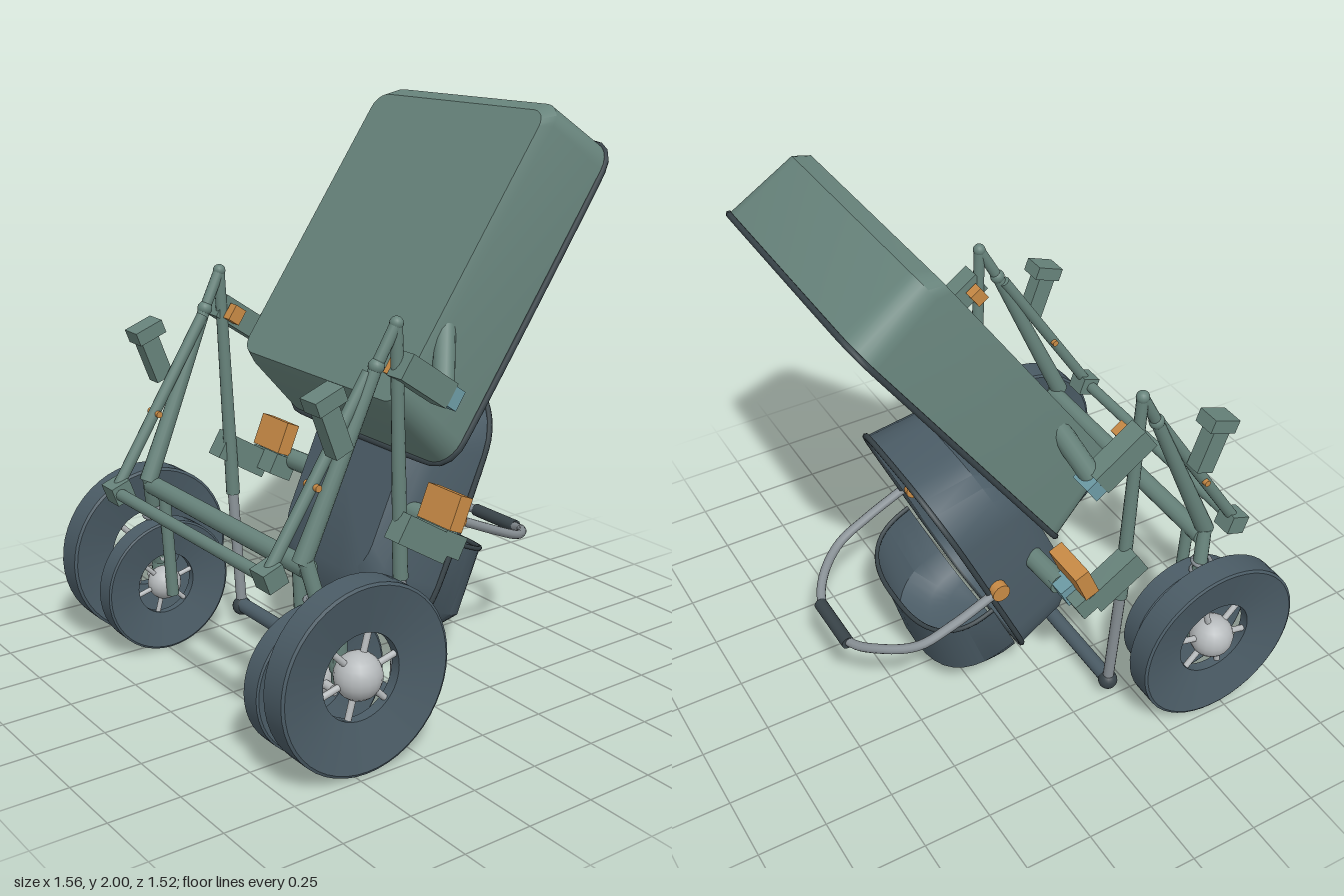
import * as THREE from 'three';
import { toCreasedNormals } from 'three/addons/utils/BufferGeometryUtils.js';

const V = (x, y, z) => new THREE.Vector3(x, y, z);
const mat = (name, color, side = THREE.FrontSide) => {
  const m = new THREE.MeshStandardMaterial({ color, side });
  m.name = name;
  return m;
};
const M = {
  green: mat('sage green', 0x67837b, THREE.DoubleSide),
  slate: mat('slate fabric', 0x4b5c66, THREE.DoubleSide),
  dark: mat('dark trim', 0x394449),
  beige: mat('beige liner', 0xb4ac9a, THREE.DoubleSide),
  orange: mat('orange', 0xc88a45),
  silver: mat('silver', 0xb6babc),
  grey: mat('grey metal', 0x899196),
  cyan: mat('dusty cyan', 0x6d9ba5),
};

export function createModel() {
  const root = new THREE.Group();
  root.name = 'stroller';
  const add = (name, geo, m, parent = root) => {
    const mesh = new THREE.Mesh(geo, m);
    mesh.name = name;
    parent.add(mesh);
    return mesh;
  };
  // straight round bar between two points
  const bar = (name, a, b, r, m, parent, r2 = r) => {
    const d = b.clone().sub(a);
    const mesh = add(name, new THREE.CylinderGeometry(r2, r, d.length(), 14), m, parent);
    mesh.position.copy(a).add(b).multiplyScalar(0.5);
    mesh.quaternion.setFromUnitVectors(V(0, 1, 0), d.normalize());
    return mesh;
  };
  const ball = (name, p, r, m, parent) =>
    add(name, new THREE.SphereGeometry(r, 18, 12), m, parent).position.copy(p);
  // box turned about z
  const box = (name, p, w, h, d, angle, m, parent) => {
    const mesh = add(name, new THREE.BoxGeometry(w, h, d), m, parent);
    mesh.position.copy(p);
    mesh.rotation.z = angle;
    return mesh;
  };
  // skin over rings of points, first ring closed by a fan around cap
  const loft = (rings, closed, cap) => {
    const n = rings[0].length, pos = [], idx = [];
    rings.flat().forEach(p => pos.push(p.x, p.y, p.z));
    const last = closed ? n : n - 1;
    for (let j = 0; j < rings.length - 1; j++)
      for (let i = 0; i < last; i++) {
        const a = j * n + i, b = j * n + (i + 1) % n;
        idx.push(a, b, b + n, a, b + n, a + n);
      }
    pos.push(cap.x, cap.y, cap.z);
    for (let i = 0; i < last; i++) idx.push(rings.length * n, (i + 1) % n, i);
    const g = new THREE.BufferGeometry();
    g.setAttribute('position', new THREE.Float32BufferAttribute(pos, 3));
    g.setIndex(idx);
    return toCreasedNormals(g, 0.55);
  };
  // sloped frame: u runs up the opening, n points out of it
  const slope = (x, y, ux, uy) => (u, n, z) => V(x + ux * u + uy * n, y + uy * u - ux * n, z);
  const roundRing = (at, n, u0, u1, w, r) => {
    const pts = [];
    [[u1 - r, w - r], [u0 + r, w - r], [u0 + r, r - w], [u1 - r, r - w]].forEach(([u, z], c) => {
      for (let i = 0; i <= 6; i++) {
        const t = (c - 0) * Math.PI / 2 + i / 6 * Math.PI / 2;
        pts.push(at(u + r * Math.sin(t), n, z + r * Math.cos(t)));
      }
    });
    return pts;
  };
  // corner order follows the sweep of sin/cos above
  const ringOf = (at, [n, u0, u1, w, r]) => {
    const corners = [[u1 - r, w - r], [u1 - r, r - w], [u0 + r, r - w], [u0 + r, w - r]];
    const pts = [];
    corners.forEach(([u, z], c) => {
      for (let i = 0; i <= 6; i++) {
        const t = (c + i / 6) * Math.PI / 2;
        pts.push(at(u + r * Math.sin(t), n, z + r * Math.cos(t)));
      }
    });
    return pts;
  };
  const tub = (name, at, specs, outer, inner) => {
    const g = new THREE.Group();
    g.name = name;
    root.add(g);
    const mid = s => at((s[1] + s[2]) / 2, s[0], 0);
    add(name + 'Shell', loft(specs.map(s => ringOf(at, s)), true, mid(specs[0])), outer, g);
    const t = 0.012;
    const ins = specs.map(([n, a, b, w, r], i) =>
      [i < specs.length - 1 ? n + t : n, a + t, b - t, w - t, r - t / 2]);
    add(name + 'Lining', loft(ins.map(s => ringOf(at, s)), true, mid(ins[0])), inner, g);
    const path = new THREE.CatmullRomCurve3(ringOf(at, specs.at(-1)), true);
    add(name + 'Rim', new THREE.TubeGeometry(path, 100, 0.011, 6, true), M.dark, g);
    return g;
  };

  // large canopy tub
  const H = slope(0.05, 0.83, 0.571, 0.821);
  tub('canopy', H, [[-0.315, 0.1, 1.19, 0.455, 0.06], [-0.27, 0.075, 1.24, 0.467, 0.08],
    [0, 0.01, 1.25, 0.487, 0.1]], M.green, M.slate);

  // seat shell
  const S = slope(0.05, 0.12, 0.41, 0.912);
  const seat = tub('seat', S, [[-0.29, 0.2, 0.8, 0.25, 0.12], [-0.24, 0.08, 0.86, 0.29, 0.18],
    [-0.19, 0.03, 0.925, 0.31, 0.22], [0, 0.005, 0.975, 0.325, 0.24]], M.slate, M.slate);
  const sheet = (name, spec, m) => {
    const ring = ringOf(S, spec);
    add(name, loft([ring, ring], true, S((spec[1] + spec[2]) / 2, spec[0], 0)), m, seat);
  };
  sheet('backLiner', [-0.215, 0.37, 0.87, 0.245, 0.11], M.beige);
  sheet('footPad', [-0.205, 0.08, 0.41, 0.235, 0.09], M.slate);

  // harness
  for (const s of [1, -1])
    bar('harnessStrap', S(0.54, -0.19, s * 0.022), S(0.33, -0.17, s * 0.1), 0.012, M.orange, seat);
  box('harnessBuckle', S(0.54, -0.18, 0), 0.03, 0.05, 0.07, -0.42, M.orange, seat);

  // foot apron, open at its top
  const dRing = ([u, w, d]) => Array.from({ length: 19 }, (_, i) => {
    const t = (i / 18 - 0.5) * Math.PI, p = 0.75;
    const c = Math.max(0, Math.cos(t)) ** p, k = Math.sign(Math.sin(t)) * Math.abs(Math.sin(t)) ** p;
    return S(u + 0.0 * c, 0.02 + d * c, w * k);
  });
  const apron = [[0.03, 0.18, 0.12], [0.06, 0.23, 0.2], [0.15, 0.29, 0.285], [0.41, 0.32, 0.245]].map(dRing);
  add('footApron', loft(apron, false, S(0.03, 0.02, 0)), M.slate);
  add('apronRim', new THREE.TubeGeometry(new THREE.CatmullRomCurve3(apron[3]), 50, 0.009, 6), M.dark);

  // bumper handle
  const half = [[0.22, 0.585, 0.335], [0.41, 0.5, 0.33], [0.53, 0.45, 0.31], [0.64, 0.415, 0.22], [0.7, 0.385, 0.11]];
  const path = [...half.map(p => V(...p)), ...half.map(([x, y, z]) => V(x, y, -z)).reverse()];
  add('bumperHandle', new THREE.TubeGeometry(new THREE.CatmullRomCurve3(path), 60, 0.017, 10), M.grey);
  bar('bumperGrip', V(0.705, 0.383, 0.115), V(0.705, 0.383, -0.115), 0.024, M.dark);

  // dished wheel turned about z
  const wheel = (name, x, y, z, r, w, s) => {
    const g = new THREE.Group();
    g.name = name;
    g.position.set(x, y, z);
    root.add(g);
    const a = r * 0.46, b = w * 0.18, c = w / 2;
    const prof = [[a, -b], [r * 0.97, -c], [r, -c * 0.9], [r, c * 0.9], [r * 0.97, c], [a, b], [a, -b]]
      .map(([q, t]) => new THREE.Vector2(q, t));
    add('tyre', toCreasedNormals(new THREE.LatheGeometry(prof, 48), 0.5), M.slate, g).rotation.x = Math.PI / 2;
    ball('hub', V(0, 0, 0), r * 0.25, M.silver, g);
    for (let i = 0; i < 6; i++) {
      const t = i * Math.PI / 3 + 0.25;
      bar('spoke', V(0, 0, 0), V(Math.cos(t) * a, Math.sin(t) * a, 0), r * 0.035, M.silver, g);
    }
  };

  // mirrored side frames
  for (const s of [1, -1]) {
    const P = (x, y, z) => V(x, y, z * s);
    wheel('outerWheel', -0.46, 0.322, 0.68 * s, 0.32, 0.105, s);
    wheel('innerWheel', -0.49, 0.247, 0.487 * s, 0.247, 0.08, s);
    bar('axle', P(-0.46, 0.322, 0.54), P(-0.46, 0.322, 0.7), 0.015, M.silver);
    bar('innerAxle', P(-0.49, 0.247, 0.42), P(-0.49, 0.247, 0.59), 0.015, M.silver);

    const f = new THREE.Group();
    f.name = 'sideFrame';
    root.add(f);
    // front leg
    const top = P(-0.2, 1.38, 0.525), knee = P(-0.167, 0.52, 0.515), foot = P(-0.16, 0.07, 0.48);
    bar('frontLeg', knee, top, 0.026, M.green, f, 0.02);
    bar('frontLegTube', foot, knee, 0.02, M.grey, f);
    ball('frontFoot', foot, 0.036, M.dark, f);
    ball('topJoint', top, 0.023, M.green, f);
    // rear legs
    const joint = P(-0.27, 1.25, 0.515), low = P(-0.54, 0.65, 0.49);
    bar('rearLegTop', joint, top, 0.02, M.green, f);
    bar('rearLeg', low, joint, 0.033, M.green, f, 0.022);
    ball('rearJoint', joint, 0.027, M.green, f);
    bar('rearStrut', P(-0.665, 0.65, 0.49), P(-0.29, 1.23, 0.5), 0.021, M.green, f);
    box('rearBlock', P(-0.66, 0.64, 0.49), 0.075, 0.07, 0.08, 0.35, M.green, f);
    bar('strutPin', P(-0.5, 0.9, 0.46), P(-0.5, 0.9, 0.53), 0.012, M.orange, f);
    // wheel suspension
    bar('suspension', P(-0.46, 0.3, 0.57), P(-0.53, 0.66, 0.5), 0.026, M.green, f);
    for (let i = 0; i < 4; i++) {
      const ring = add('springCoil', new THREE.TorusGeometry(0.033, 0.008, 6, 14), M.grey, f);
      ring.position.copy(P(-0.485 - i * 0.009, 0.43 + i * 0.035, 0.545 - i * 0.007));
      ring.rotation.x = Math.PI / 2;
    }
    bar('axleColumn', P(-0.46, 0.24, 0.58), P(-0.46, 0.46, 0.58), 0.026, M.green, f);
    bar('innerColumn', P(-0.49, 0.22, 0.425), P(-0.51, 0.62, 0.43), 0.022, M.green, f);
    // push handle mount
    box('handleStem', P(-0.47, 1.1, 0.552), 0.07, 0.19, 0.06, 0.36, M.green, f);
    box('handleMount', P(-0.495, 1.19, 0.552), 0.11, 0.05, 0.085, 0.36, M.green, f);
    // canopy bracket
    box('canopyArm', P(-0.11, 1.19, 0.547), 0.22, 0.09, 0.075, -0.6, M.green, f);
    box('canopyArmPin', P(-0.165, 1.22, 0.48), 0.05, 0.06, 0.04, -0.6, M.orange, f);
    box('canopyLink', P(-0.015, 1.125, 0.54), 0.08, 0.07, 0.085, -0.6, M.cyan, f);
    bar('canopySupport', P(-0.02, 1.12, 0.54), P(0.09, 1.36, 0.41), 0.037, M.green, f);
    ball('canopySupportEnd', P(0.09, 1.36, 0.41), 0.037, M.green, f);
    // seat bracket
    box('seatArm', P(-0.11, 0.66, 0.545), 0.22, 0.1, 0.075, -0.55, M.green, f);
    box('seatLink', P(0.0, 0.615, 0.5), 0.1, 0.08, 0.16, -0.5, M.green, f);
    box('seatLinkCap', P(0.04, 0.63, 0.48), 0.06, 0.08, 0.08, -0.45, M.cyan, f);
    bar('seatSupport', P(0.05, 0.635, 0.46), P(0.06, 0.635, 0.27), 0.038, M.green, f);
    box('adapter', P(0.025, 0.72, 0.505), 0.055, 0.12, 0.17, -0.4, M.orange, f);
    // bumper pivot
    bar('bumperPivot', P(0.22, 0.585, 0.29), P(0.22, 0.585, 0.355), 0.034, M.orange, f);
  }

  // cross bars joining the two sides
  bar('frontCrossbar', V(-0.16, 0.075, -0.48), V(-0.16, 0.075, 0.48), 0.028, M.slate);
  bar('rearCrossbar', V(-0.52, 0.63, -0.5), V(-0.52, 0.63, 0.5), 0.034, M.green);
  bar('backCrossbar', V(-0.67, 0.635, -0.47), V(-0.67, 0.635, 0.47), 0.022, M.green);
  return root;
}
